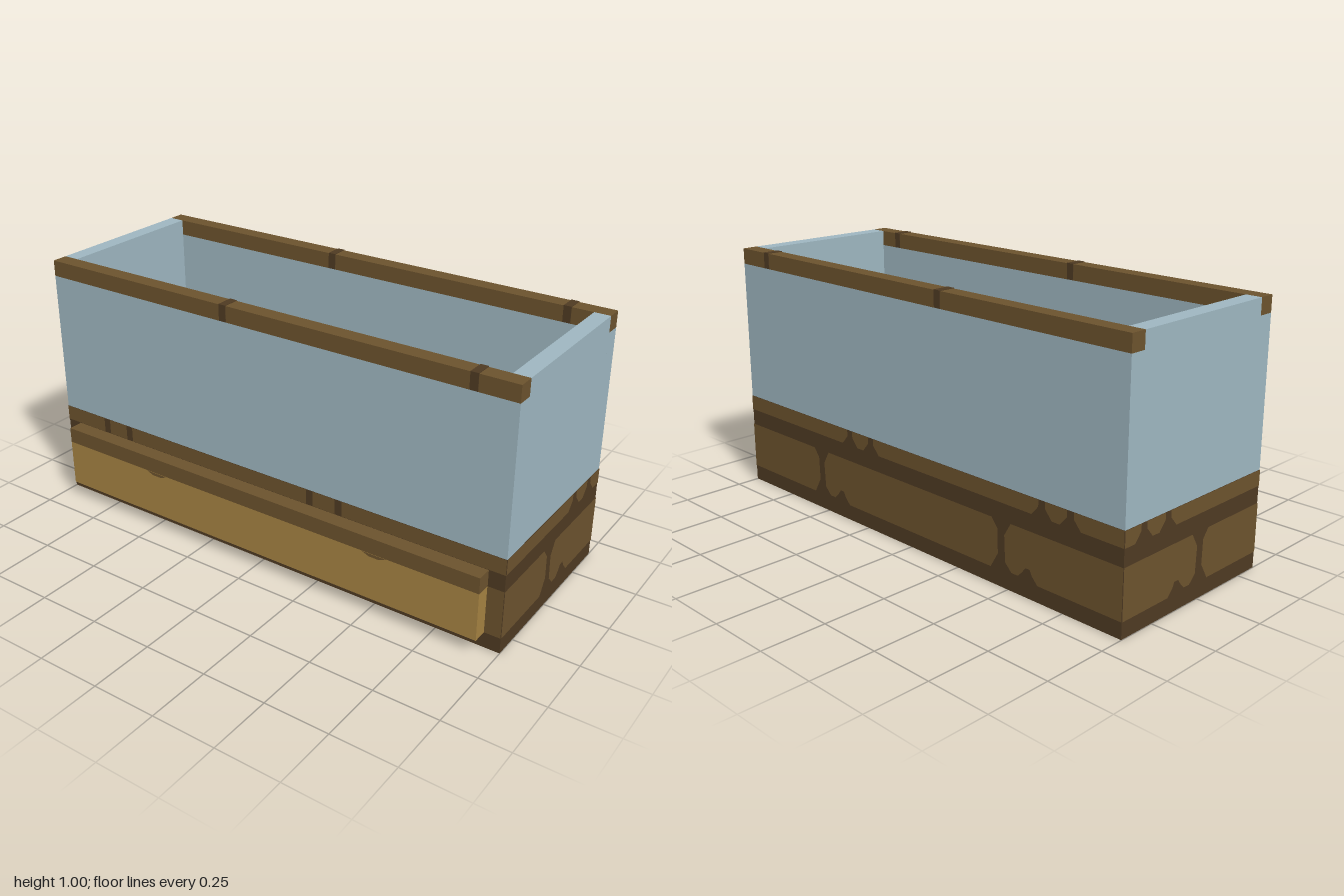
import * as THREE from 'three';

const mat = (name, color) => {
  const m = new THREE.MeshStandardMaterial({ color });
  m.name = name;
  return m;
};

export function createModel() {
  const blue = mat('paleBlue', 0x9db5bf);
  const brown = mat('brown', 0x6b522d);
  const dark = mat('darkBrown', 0x4e3a22);
  const tan = mat('tan', 0xa48141);
  const model = new THREE.Group();
  model.name = 'trough';

  // Box given by its lower and upper corners
  const box = (name, m, x0, y0, z0, x1, y1, z1, parent = model) => {
    const mesh = new THREE.Mesh(new THREE.BoxGeometry(x1 - x0, y1 - y0, z1 - z0), m);
    mesh.position.set((x0 + x1) / 2, (y0 + y1) / 2, (z0 + z1) / 2);
    mesh.name = name;
    parent.add(mesh);
    return mesh;
  };
  // Flat painted patch; sign flips the horizontal axis for turned faces
  const patch = (name, m, pts, parent, sign = 1) => {
    const shape = new THREE.Shape(pts.map(([u, v]) => new THREE.Vector2(u * sign, v)));
    const mesh = new THREE.Mesh(new THREE.ShapeGeometry(shape), m);
    mesh.name = name;
    parent.add(mesh);
  };
  const face = (name, x, y, z, rx, ry) => {
    const g = new THREE.Group();
    g.name = name;
    g.position.set(x, y, z);
    g.rotation.set(rx, ry, 0);
    model.add(g);
    return g;
  };

  const B = -0.405, F = 0.345, T = 0.0625, H = 0.375, E = 0.002;

  // Base, floor and walls
  box('base', dark, -1, 0, B, 1, H, F);
  box('floor', blue, -1 + T, H, B + T, 1 - T, H + 0.004, F - T);
  box('frontWall', blue, -1, H, F - T, 1, 1 - T, F);
  box('backWall', blue, -1, H, B, 1, 1 - T, B + T);
  for (const s of [-1, 1]) {
    const c = s * (1 - T / 2);
    box(s > 0 ? 'leftWall' : 'rightWall', blue, c - T / 2, H, B + T, c + T / 2, 1, F - T);
  }

  // Top rails with dark joints
  for (const [name, z] of [['frontRail', F - T], ['backRail', B]]) {
    box(name, brown, -1, 1 - T, z, 1, 1, z + T);
    for (const x of [-0.16, 0.84]) {
      box(name + 'Joint', dark, x - 0.015, 1 - T + 0.001, z - E, x + 0.015, 1 + E, z + T + E);
    }
  }

  // One large block: flared ends beside joints, and a mound in its lower edge
  const block = (a, b, jointA, jointB) => {
    const v0 = T, v1 = 0.25, p = [];
    if (jointA) p.push([a + 0.045, v1], [a + 0.018, v1 - 0.035], [a + 0.015, v0 + 0.06], [a + 0.05, v0]);
    else p.push([a, v1], [a, v0]);
    if (jointB) {
      p.push([b - 0.17, v0], [b - 0.145, 0.09], [b - 0.135, 0.11], [b - 0.115, 0.11], [b - 0.1, 0.09],
        [b - 0.08, 0.07], [b - 0.05, 0.07], [b - 0.02, 0.1], [b - 0.015, 0.2], [b - 0.045, v1]);
    } else p.push([b, v0], [b, v1]);
    return p;
  };
  // Narrow upper block, flared at its lower corners
  const cap = (a, b, jointA, jointB, flare) => {
    const p = [], y = H - 0.06, m = H - 0.025;
    if (jointA) p.push([a + 0.015, H], [a + 0.015, m], [a + 0.015 + flare, y]);
    else p.push([a, H], [a, y]);
    if (jointB) p.push([b - 0.015 - flare, y], [b - 0.015, m], [b - 0.015, H]);
    else p.push([b, y], [b, H]);
    return p;
  };
  const spans = (lo, hi, joints, fn) => {
    const e = [lo, ...joints, hi];
    for (let i = 0; i < e.length - 1; i++) fn(e[i], e[i + 1], i > 0, i < e.length - 2);
  };
  const courses = (g, lo, hi, joints, sign) => {
    spans(lo, hi, joints, (a, b, ja, jb) => patch('block', brown, block(a, b, ja, jb), g, sign));
    const upper = joints.flatMap((j) => [j - 0.31, j - 0.185]);
    spans(lo, hi, upper, (a, b, ja, jb) => patch('capBlock', brown, cap(a, b, ja, jb, 0.03), g, sign));
  };

  // Block courses on the back and both ends
  courses(face('backBlocks', 0, 0, B - E, 0, Math.PI), -1, 1, [-0.47, 0.53], -1);
  courses(face('leftBlocks', 1 + E, 0, 0, 0, Math.PI / 2), B, F, [0], -1);
  courses(face('rightBlocks', -1 - E, 0, 0, 0, -Math.PI / 2), B, F, [0], 1);

  // Front: upper course and the narrow strips beside the panel
  const front = face('frontBlocks', 0, 0, F + E, 0, 0);
  spans(-1, 1, [-0.78, -0.66, 0.215, 0.34], (a, b, ja, jb) =>
    patch('capBlock', brown, cap(a, b, ja, jb, 0), front));
  for (const [a, b] of [[-1, -1 + T], [1 - T, 1]]) {
    patch('frontStrip', brown, [[a, T], [b, T], [b, 0.25], [a, 0.25]], front);
  }

  // Raised front panel with a brown ledge
  box('frontPanel', tan, -1 + T, T, F, 1 - T, 0.25, F + 0.06);
  box('panelLedge', brown, -1 + T, 0.25, F, 1 - T, 0.3125, F + 0.06);
  const panelFace = face('panelNotches', 0, 0, F + 0.06 + E, 0, 0);
  for (const x of [-0.47, 0.53]) {
    patch('panelNotch', brown, [[x - 0.05, 0.25], [x - 0.02, 0.238], [x + 0.02, 0.238], [x + 0.05, 0.25]], panelFace);
  }

  // Worn blocks on the underside
  const under = face('undersideBlocks', 0, -0.001, 0, Math.PI / 2, 0);
  const slab = (a, b, c, d, r) => patch('undersideBlock', brown,
    [[a + r, c], [b - r, c], [b, c + r], [b, d - r], [b - r, d], [a + r, d], [a, d - r], [a, c + r]], under);
  for (const x of [-0.9, 0.1]) {
    slab(x, x + 0.84, -0.28, -0.12, 0.04);
    slab(x - 0.02, x + 0.8, -0.05, 0.11, 0.04);
    slab(x + 0.08, x + 0.75, 0.22, 0.28, 0.02);
  }
  return model;
}
